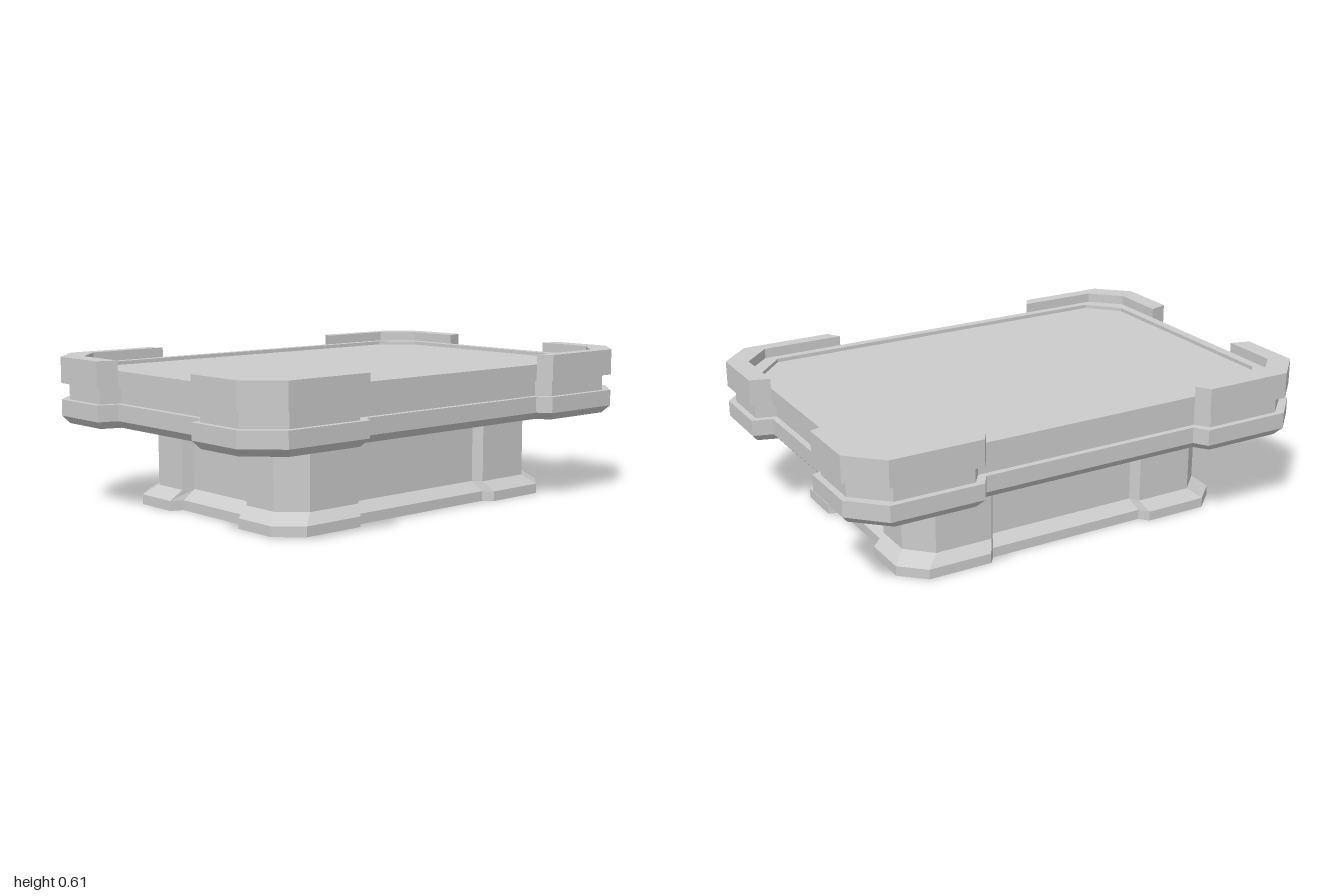
import * as THREE from 'three';

const grey = new THREE.MeshStandardMaterial({ color: 0xcccccc, flatShading: true });
const greyThin = new THREE.MeshStandardMaterial({ color: 0xcccccc, flatShading: true, side: THREE.DoubleSide });

// Mirror one quadrant of [x, z] points into a full ring
function mirrorRing(quad) {
  const back = [...quad].reverse();
  return [
    ...quad,
    ...back.map(([x, z]) => [-x, z]),
    ...quad.map(([x, z]) => [-x, -z]),
    ...back.map(([x, z]) => [x, -z]),
  ];
}

// Quadrant of a chamfered rectangle whose sides are recessed in the middle; e insets it
function notchedQuad(s, e = 0) {
  return [
    [s.x - s.dx - e, s.nzIn + e * 0.8],
    [s.x - e, s.nzOut + e * 0.8],
    [s.x - e, s.cz - e * 0.8],
    [s.cx - e, s.z - e],
    [s.nxOut + e, s.z - e],
    [s.nxIn + e * 0.8, s.z - s.dz - e],
  ];
}

// Walls through a list of { y, ring } levels, bottom to top
function loft(levels) {
  const pos = [];
  for (let l = 0; l < levels.length - 1; l++) {
    const lo = levels[l], hi = levels[l + 1], n = lo.ring.length;
    for (let i = 0; i < n; i++) {
      const j = (i + 1) % n;
      const at = (lv, k) => [lv.ring[k][0], lv.y, lv.ring[k][1]];
      const a = at(lo, i), b = at(lo, j), c = at(hi, i), d = at(hi, j);
      pos.push(...a, ...c, ...b, ...c, ...d, ...b);
    }
  }
  const geo = new THREE.BufferGeometry();
  geo.setAttribute('position', new THREE.Float32BufferAttribute(pos, 3));
  geo.computeVertexNormals();
  return geo;
}

const toShape = (ring) => new THREE.Shape(ring.map(([x, z]) => new THREE.Vector2(x, z)));

// Flat horizontal face, facing up (dir = 1) or down (dir = -1)
function cap(ring, y, dir, hole) {
  const shape = toShape(ring);
  if (hole) shape.holes.push(new THREE.Path(hole.map(([x, z]) => new THREE.Vector2(x, z))));
  return new THREE.ShapeGeometry(shape).rotateX(-dir * Math.PI / 2).translate(0, y, 0);
}

export function createModel() {
  const model = new THREE.Group();
  model.name = 'lowTable';
  const add = (name, geo, mat = grey, parent = model) => {
    const mesh = new THREE.Mesh(geo, mat);
    mesh.name = name;
    parent.add(mesh);
  };

  const top = { x: 1, z: 0.69, cx: 0.875, cz: 0.565, dx: 0.08, dz: 0.055,
    nxOut: 0.5, nxIn: 0.465, nzOut: 0.305, nzIn: 0.28 };
  const column = { x: 0.68, z: 0.46, cx: 0.585, cz: 0.365, dx: 0.05, dz: 0.037,
    nxOut: 0.345, nxIn: 0.32, nzOut: 0.205, nzIn: 0.19 };
  const foot = { x: 0.73, z: 0.5, cx: 0.635, cz: 0.41, dx: 0.05, dz: 0.037,
    nxOut: 0.37, nxIn: 0.34, nzOut: 0.22, nzIn: 0.2 };

  // Table slab: bevelled underside, groove around the edge
  const outer = mirrorRing(notchedQuad(top));
  const inset = mirrorRing(notchedQuad(top, 0.025));
  const slab = new THREE.Group();
  slab.name = 'tableSlab';
  model.add(slab);
  add('slabEdge', loft([
    { y: 0.34, ring: inset }, { y: 0.37, ring: outer }, { y: 0.435, ring: outer },
    { y: 0.435, ring: inset }, { y: 0.5, ring: inset }, { y: 0.5, ring: outer },
    { y: 0.565, ring: outer },
  ]), grey, slab);
  add('slabUnderside', cap(inset, 0.34, -1), grey, slab);

  // Rim and slightly sunken surface
  const floorY = 0.55;
  const floorRing = mirrorRing([[0.88, 0.475], [0.765, 0.6]]);
  add('rim', cap(outer, 0.565, 1, floorRing), grey, slab);
  add('rimStep', loft([{ y: 0.565, ring: floorRing }, { y: floorY, ring: floorRing }]), grey, slab);
  add('tableSurface', cap(floorRing, floorY, 1), grey, slab);

  // Raised guards on the four corners
  const guard = [...notchedQuad(top), [0.805, 0.635], [0.92, 0.52]];
  for (const sx of [1, -1]) for (const sz of [1, -1]) {
    const shape = toShape(guard.map(([x, z]) => [x * sx, -z * sz]));
    const geo = new THREE.ExtrudeGeometry(shape, { depth: 0.04, bevelEnabled: false });
    add((sz > 0 ? 'front' : 'back') + (sx > 0 ? 'Left' : 'Right') + 'CornerGuard',
      geo.rotateX(-Math.PI / 2).translate(0, 0.565, 0));
  }

  // Hollow pedestal with a flared foot, open below
  const columnRing = mirrorRing(notchedQuad(column));
  const footRing = mirrorRing(notchedQuad(foot));
  add('pedestalColumn', loft([{ y: 0.08, ring: columnRing }, { y: 0.34, ring: columnRing }]), greyThin);
  add('pedestalFoot', loft([
    { y: 0, ring: footRing }, { y: 0.04, ring: footRing }, { y: 0.08, ring: columnRing },
  ]), greyThin);

  return model;
}
